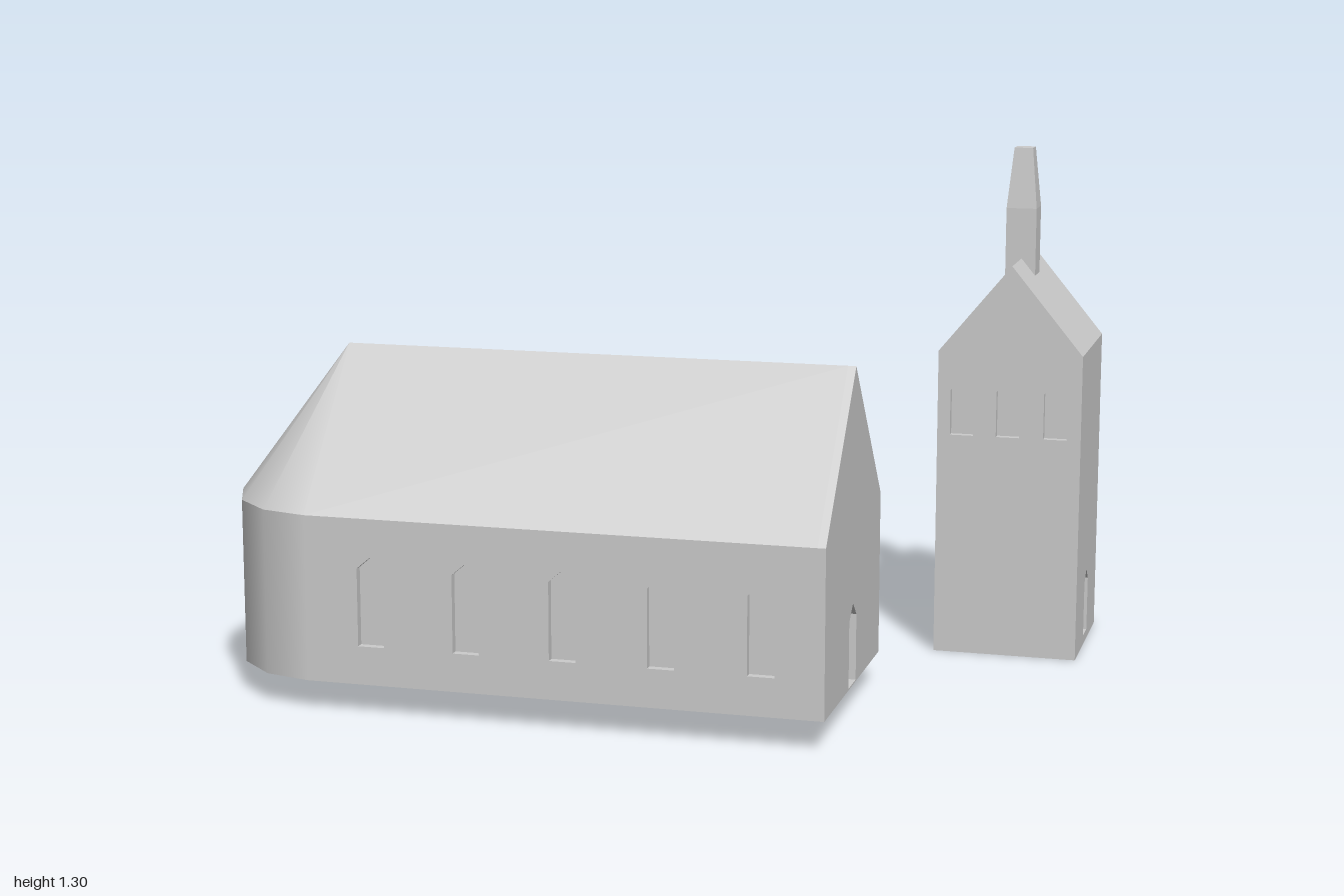
import * as THREE from 'three';

const RECESS = 0.02;

export function createModel() {
  const model = new THREE.Group();
  const stone = new THREE.MeshStandardMaterial({ color: 0xcccccc });
  stone.name = 'pale grey stone';

  const add = (parent, name, geometry) => {
    const mesh = new THREE.Mesh(geometry, stone);
    mesh.name = name;
    parent.add(mesh);
    return mesh;
  };
  const outline = (points) => new THREE.Shape(points.map(([x, y]) => new THREE.Vector2(x, y)));

  // Pointed opening: centre, width, sill, spring line and tip
  const opening = (x, w, sill, spring, tip) => new THREE.Path([
    [x - w / 2, sill], [x + w / 2, sill], [x + w / 2, spring], [x, tip], [x - w / 2, spring],
  ].map(([a, b]) => new THREE.Vector2(a, b)));

  // Slab whose outer face lies at local z = 0
  const slab = (points, depth, holes = []) => {
    const shape = outline(points);
    shape.holes.push(...holes);
    const g = new THREE.ExtrudeGeometry(shape, { depth, bevelEnabled: false });
    return g.translate(0, 0, -depth);
  };
  const rect = (a, b, y0, y1) => [[a, y0], [b, y0], [b, y1], [a, y1]];

  // ---- Nave: long hall with a gable at +x and a round apse at -x ----
  const nave = new THREE.Group();
  nave.name = 'nave';
  nave.position.z = 0.353;
  model.add(nave);
  const H = 0.3125, base = 0.075, eave = 0.485, ridge = 0.855;
  const xEnd = 0.547, xApse = -0.735, inner = H - RECESS;

  // Core and roof, with room left for the recessed side walls
  const core = add(nave, 'naveCoreAndRoof', slab([
    [-inner, base], [inner, base], [inner, eave], [H, eave], [0, ridge], [-H, eave], [-inner, eave],
  ], xEnd - RECESS - xApse));
  core.rotation.y = Math.PI / 2;
  core.position.x = xEnd - RECESS;

  // Gable wall with door
  const gable = add(nave, 'naveGableWall', slab(
    [[-H, base], [H, base], [H, eave], [0, ridge], [-H, eave]], RECESS,
    [opening(-0.005, 0.082, base + 0.004, 0.243, 0.28)]));
  gable.rotation.y = Math.PI / 2;
  gable.position.x = xEnd;

  // Front and back walls with five windows each
  for (const s of [1, -1]) {
    const ends = [s * xApse, s * (xEnd - RECESS)].sort((a, b) => a - b);
    const windows = [-0.568, -0.327, -0.086, 0.155, 0.396]
      .map((x) => opening(s * x, 0.066, 0.17, 0.362, 0.39));
    const wall = add(nave, s > 0 ? 'naveFrontWall' : 'naveBackWall',
      slab(rect(ends[0], ends[1], base, eave), RECESS, windows));
    wall.rotation.y = s > 0 ? 0 : Math.PI;
    wall.position.z = s * H;
  }

  // Apse wall and half-cone roof
  const apse = add(nave, 'apseWall',
    new THREE.CylinderGeometry(H, H, eave - base, 7, 1, false, Math.PI, Math.PI));
  apse.position.set(xApse, (eave + base) / 2, 0);
  const apseRoof = add(nave, 'apseRoof',
    new THREE.ConeGeometry(H, ridge - eave, 7, 1, true, Math.PI, Math.PI));
  apseRoof.position.set(xApse, (eave + ridge) / 2, 0);
  apse.scale.x = apseRoof.scale.x = 0.87;

  // ---- Detached bell tower ----
  const tower = new THREE.Group();
  tower.name = 'tower';
  tower.position.set(0.815, 0, -0.472);
  model.add(tower);
  const W = 0.185, D = 0.195, tEave = 0.795, tRidge = 1.02;

  // Core and saddle roof
  add(tower, 'towerCoreAndRoof', slab([
    [-W, 0], [W - RECESS, 0], [W - RECESS, tEave], [W, tEave], [0, tRidge], [-W, tEave],
  ], 2 * (D - RECESS))).position.z = D - RECESS;

  // Front and back gables with belfry windows
  for (const s of [1, -1]) {
    const wall = add(tower, s > 0 ? 'towerFrontWall' : 'towerBackWall', slab(
      [[-W, 0], [W, 0], [W, tEave], [0, tRidge], [-W, tEave]], RECESS,
      [-0.122, -0.003, 0.119].map((x) => opening(s * x, 0.06, 0.577, 0.694, 0.722))));
    wall.rotation.y = s > 0 ? 0 : Math.PI;
    wall.position.z = s * D;
  }

  // Side wall with door
  const side = add(tower, 'towerDoorWall', slab(
    rect(-D + RECESS, D - RECESS, 0, tEave), RECESS, [opening(0, 0.068, 0.024, 0.165, 0.197)]));
  side.rotation.y = Math.PI / 2;
  side.position.x = W;

  // Square spire: straight shaft, then a tapered top
  const spirePiece = (name, top, bottom, y0, y1) => {
    const g = new THREE.CylinderGeometry(top * Math.SQRT2, bottom * Math.SQRT2, y1 - y0, 4)
      .rotateY(Math.PI / 4).toNonIndexed();
    g.computeVertexNormals();
    add(tower, name, g).position.set(-0.003, (y0 + y1) / 2, 0);
  };
  spirePiece('spireShaft', 0.039, 0.039, 0.9, 1.15);
  spirePiece('spireTop', 0.024, 0.039, 1.15, 1.305);

  return model;
}
